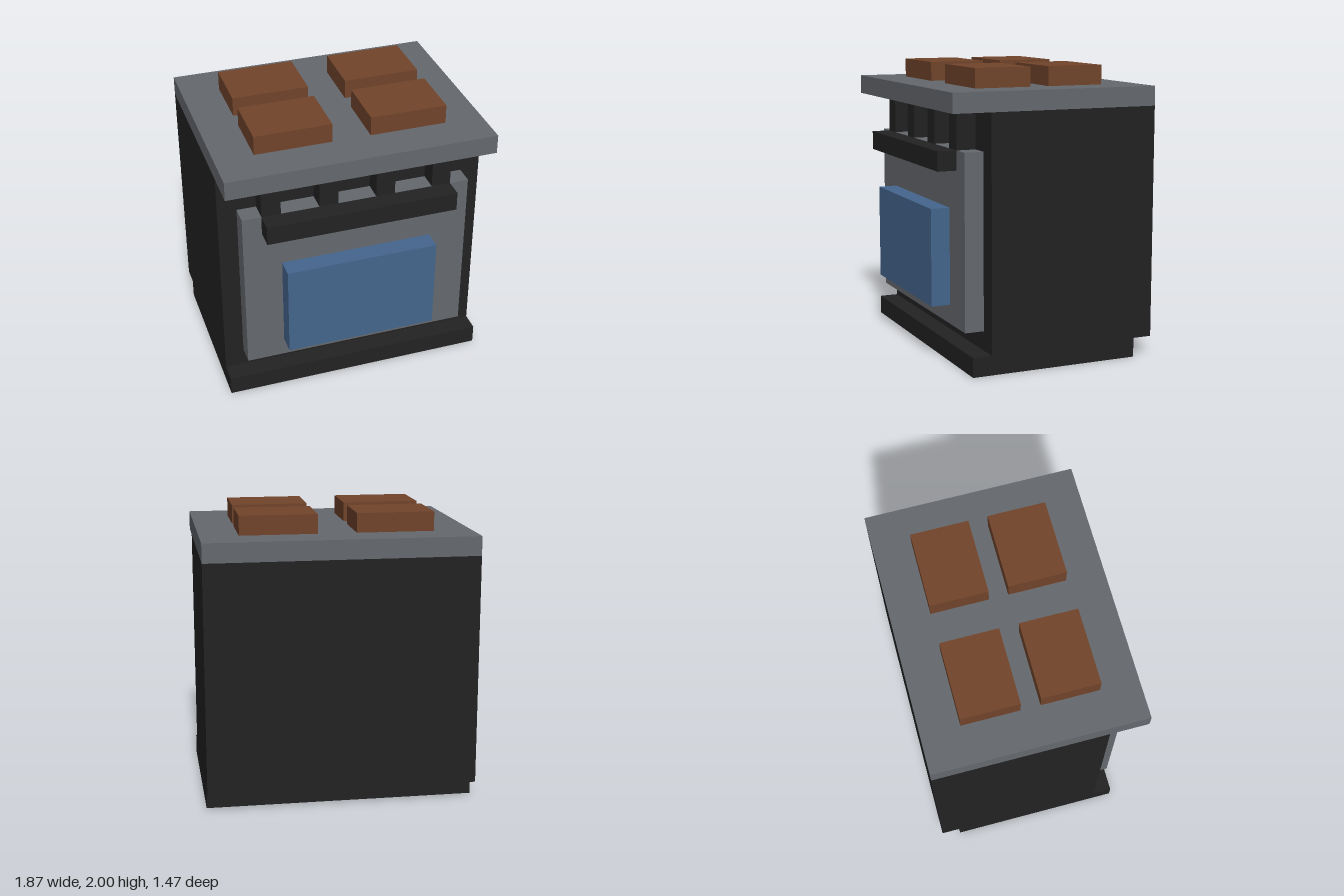
import * as THREE from 'three';

// Everything sits on a grid of fifteen units to the full height
const U = 2 / 15;

export function createModel() {
  const material = (name, color) => {
    const m = new THREE.MeshStandardMaterial({ color });
    m.name = name;
    return m;
  };
  const black = material('black enamel', 0x222222);
  const grey = material('grey steel', 0x65696e);
  const brown = material('brown burner', 0x71442b);
  const blue = material('blue glass', 0x45668e);

  const stove = new THREE.Group();
  stove.name = 'stove';

  // Adds a block spanning the given grid ranges
  const block = (name, mat, [x0, x1], [y0, y1], [z0, z1]) => {
    const geometry = new THREE.BoxGeometry((x1 - x0) * U, (y1 - y0) * U, (z1 - z0) * U);
    const mesh = new THREE.Mesh(geometry, mat);
    mesh.name = name;
    mesh.position.set((x0 + x1) * U / 2, (y0 + y1) * U / 2, (z0 + z1) * U / 2);
    stove.add(mesh);
  };

  // Cabinet
  block('base', black, [-7, 7], [0, 1], [-4.5, 4.5]);
  block('body', black, [-7, 7], [1, 13], [-5.5, 3.5]);
  block('cooktop', grey, [-7, 7], [13, 14], [-5.5, 5.5]);

  // Oven door
  block('door', grey, [-6, 6], [2, 11], [3.5, 4.5]);
  block('window', blue, [-4, 4], [3, 8], [4.5, 5.5]);
  block('handle', black, [-5, 5], [10, 11], [4.5, 5.5]);

  // Row of knobs between the door and the cooktop
  for (const x of [-5, -2, 1, 4]) block('knob', black, [x, x + 1], [11, 13], [3.5, 4.5]);

  // Four burners
  for (const x of [-5, 1]) {
    for (const z of [-3.5, 0.5]) block('burner', brown, [x, x + 4], [14, 15], [z, z + 3]);
  }

  return stove;
}
